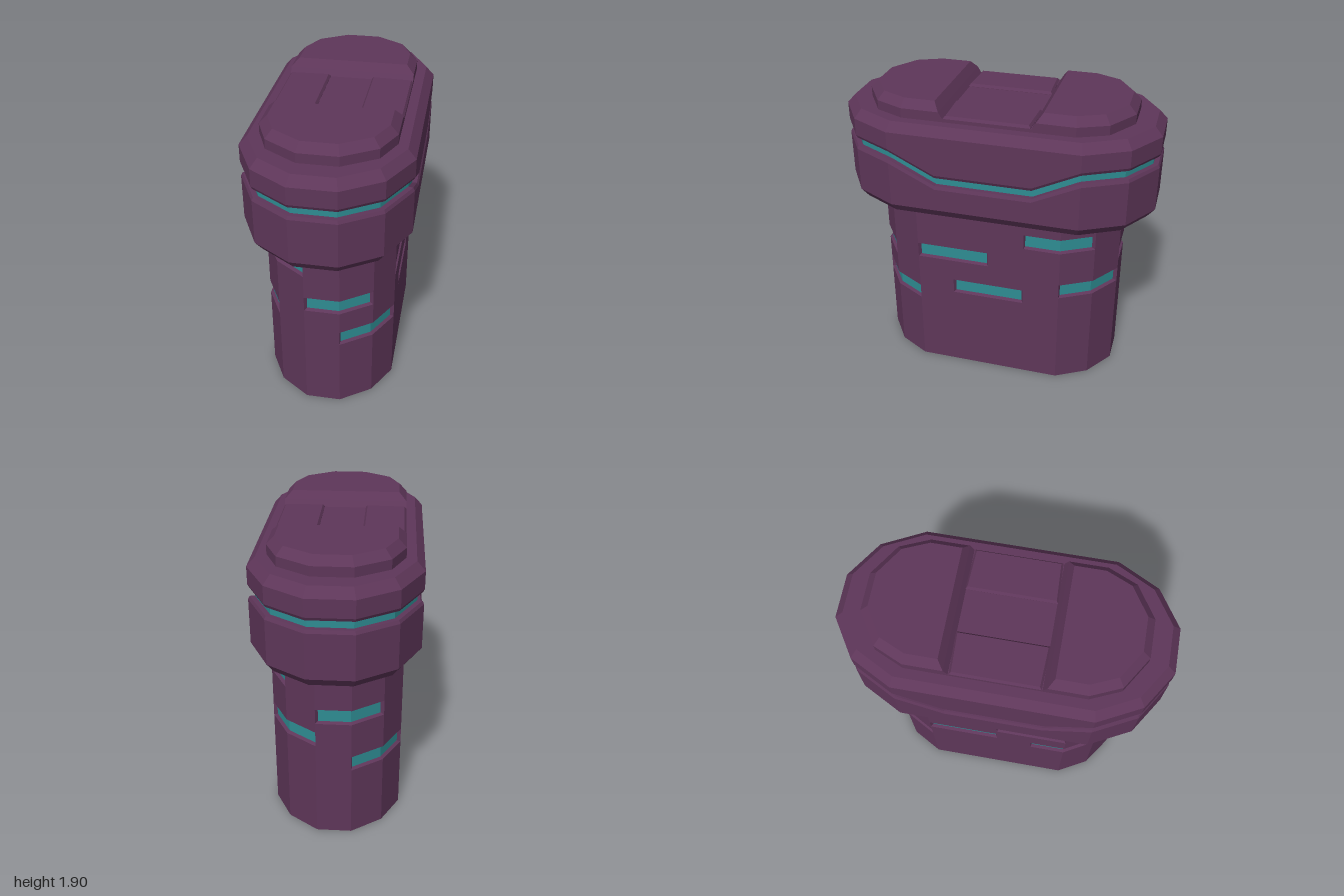
import * as THREE from 'three';

const SHELL = new THREE.MeshStandardMaterial({ color: 0x5e3659, flatShading: true });
const GLOW = new THREE.MeshStandardMaterial({ color: 0x2e8c92, flatShading: true });

// Elongated outline from one quarter [x, z], running left to right as seen from outside.
function outline(quarter) {
  const back = [...quarter].reverse();
  return [
    ...quarter,
    ...back.map(([x, z]) => [x, -z]),
    ...quarter.map(([x, z]) => [-x, -z]),
    ...back.map(([x, z]) => [-x, z]),
  ];
}

// Move every edge of an outline inwards by d.
function inset(ring, d) {
  const n = ring.length;
  const normal = (i) => {
    const a = ring[i % n], b = ring[(i + 1) % n];
    const l = Math.hypot(b[0] - a[0], b[1] - a[1]);
    return [-(b[1] - a[1]) / l, (b[0] - a[0]) / l];
  };
  return ring.map(([x, z], i) => {
    const p = normal(i + n - 1), q = normal(i);
    const k = d / (1 + p[0] * q[0] + p[1] * q[1]);
    return [x - (p[0] + q[0]) * k, z - (p[1] + q[1]) * k];
  });
}

const level = (ring, y) => ring.map(([x, z]) => [x, y, z]);

// Corners: lower left, lower right, upper right, upper left.
const quad = (out, a, b, c, d) => out.push(...a, ...b, ...c, ...a, ...c, ...d);

function cap(out, ring, up) {
  for (let i = 1; i < ring.length - 1; i++) {
    out.push(...ring[0], ...(up ? ring[i] : ring[i + 1]), ...(up ? ring[i + 1] : ring[i]));
  }
}

// Skin a stack of rings from bottom to top.
function loft(rings, { bottom = false, top = false } = {}) {
  const out = [];
  for (let k = 0; k < rings.length - 1; k++) {
    const lo = rings[k], hi = rings[k + 1], n = lo.length;
    for (let i = 0; i < n; i++) {
      const j = (i + 1) % n;
      quad(out, lo[i], lo[j], hi[j], hi[i]);
    }
  }
  if (bottom) cap(out, rings[0], false);
  if (top) cap(out, rings[rings.length - 1], true);
  return out;
}

function addMesh(parent, name, positions, material) {
  const g = new THREE.BufferGeometry();
  g.setAttribute('position', new THREE.Float32BufferAttribute(positions, 3));
  g.computeVertexNormals();
  const mesh = new THREE.Mesh(g, material);
  mesh.name = name;
  parent.add(mesh);
  return mesh;
}

// Lower body with recessed light slots that wrap round the corners.
function buildBody(parent) {
  const ring = outline([[0.11, 0.8], [0.3, 0.67], [0.41, 0.47]]);
  // Start at the front left corner so that corner numbers run 0..12.
  ring.unshift(ring.pop());
  const n = ring.length, H = 1.18, DEPTH = 0.02, LIP = 0.01;
  const deep = inset(ring, DEPTH);
  const point = (u, y, floor) => {
    const r = floor ? deep : ring, i = Math.floor(u), f = u - i;
    const a = r[i % n], b = r[(i + 1) % n];
    return [a[0] + (b[0] - a[0]) * f, y, a[1] + (b[1] - a[1]) * f];
  };
  const edge = (i) => Math.hypot(ring[(i + 1) % n][0] - ring[i][0], ring[(i + 1) % n][1] - ring[i][1]);

  // [start, end] along the outline in corner numbers, then centre height
  const slots = [
    [0, 2, 0.782], [1, 3, 0.533], [3, 3.5, 0.868], [3.25, 3.75, 0.62],
    [3.75, 5, 1.042], [4, 6, 0.705], [6, 8, 0.868], [7, 9, 0.533],
    [9, 9.5, 0.705], [9.5, 10, 0.868], [9.75, 11, 0.62], [10, 12, 1.042],
  ].map(([u0, u1, y]) => ({ u0, u1, y0: y - 0.05, y1: y + 0.05 }));

  const sorted = (list) => [...new Set(list)].sort((a, b) => a - b);
  const us = sorted([...Array(n + 1).keys(), ...slots.flatMap((s) => [s.u0, s.u1])]);
  const ys = sorted([0, H, ...slots.flatMap((s) => [s.y0, s.y1])]);

  // Outer wall, leaving the slots open
  const wall = [], glow = [];
  for (let i = 0; i < us.length - 1; i++) {
    for (let j = 0; j < ys.length - 1; j++) {
      const [a, b, c, d] = [us[i], us[i + 1], ys[j], ys[j + 1]];
      const open = slots.some((s) => a >= s.u0 && b <= s.u1 && c >= s.y0 && d <= s.y1);
      if (!open) quad(wall, point(a, c), point(b, c), point(b, d), point(a, d));
    }
  }
  // Slot lips and floors
  for (const { u0, u1, y0, y1 } of slots) {
    const f0 = u0 + LIP / edge(Math.floor(u0)), f1 = u1 - LIP / edge(Math.ceil(u1) - 1);
    const fit = (u) => Math.min(f1, Math.max(f0, u));
    const lo = y0 + LIP, hi = y1 - LIP;
    const cuts = us.filter((u) => u >= u0 && u <= u1);
    for (let i = 0; i < cuts.length - 1; i++) {
      const a = cuts[i], b = cuts[i + 1], fa = fit(a), fb = fit(b);
      quad(glow, point(fa, lo, 1), point(fb, lo, 1), point(fb, hi, 1), point(fa, hi, 1));
      quad(wall, point(a, y0), point(b, y0), point(fb, lo, 1), point(fa, lo, 1));
      quad(wall, point(fa, hi, 1), point(fb, hi, 1), point(b, y1), point(a, y1));
    }
    quad(wall, point(u0, y0), point(f0, lo, 1), point(f0, hi, 1), point(u0, y1));
    quad(wall, point(f1, lo, 1), point(u1, y0), point(u1, y1), point(f1, hi, 1));
  }
  cap(wall, level(ring, 0), false);
  addMesh(parent, 'body', wall, SHELL);
  addMesh(parent, 'bodyLightSlots', glow, GLOW);
}

// Wide head with a light band that dips along both sides.
function buildHead(parent) {
  const ring = outline([[0.14, 1], [0.375, 0.85], [0.51, 0.59], [0.51, 0.3]]);
  const section = ([d, y, dips]) =>
    inset(ring, d).map(([x, z]) => [x, y - (dips && Math.abs(z) < 0.4 ? 0.14 : 0), z]);
  const lower = [[0.12, 1.172], [0.045, 1.185], [0, 1.245], [0, 1.53, 1], [0.01, 1.55, 1], [0.04, 1.55, 1]];
  const band = [[0.04, 1.55, 1], [0.04, 1.605, 1]];
  const upper = [[0.04, 1.605, 1], [0.01, 1.605, 1], [0, 1.625, 1], [0, 1.735], [0.05, 1.79]];
  addMesh(parent, 'headLower', loft(lower.map(section), { bottom: true }), SHELL);
  addMesh(parent, 'headLightBand', loft(band.map(section)), GLOW);
  addMesh(parent, 'headUpper', loft(upper.map(section), { top: true }), SHELL);
}

// Two raised end pads with a sunken deck and two thin panels between them.
function buildTop(parent) {
  const ring = outline([[0.12, 0.835], [0.32, 0.71], [0.4, 0.53]]);
  const padRing = (d, y, end) => {
    const r = inset(ring, d);
    const half = [...r.slice(-3), ...r.slice(0, 3)];
    const x = r[2][0];
    return level([...half, [x, end], [-x, end]], y);
  };
  const pad = loft([
    padRing(0, 1.78, 0.27), padRing(0, 1.81, 0.27), padRing(0, 1.85, 0.295), padRing(0.048, 1.9, 0.33),
  ], { top: true });
  addMesh(parent, 'frontPad', pad, SHELL);
  addMesh(parent, 'backPad', pad, SHELL).rotation.y = Math.PI;

  const deck = new THREE.Mesh(new THREE.BoxGeometry(0.8, 0.04, 0.56), SHELL);
  deck.name = 'deck';
  deck.position.y = 1.79;
  parent.add(deck);

  const panelRing = (d, y) =>
    level([[0.135 + d, 0.275 - d], [0.4 - d, 0.265 - d], [0.4 - d, -0.265 + d], [0.135 + d, -0.275 + d]], y);
  const panel = loft([panelRing(0, 1.8), panelRing(0, 1.812), panelRing(0.012, 1.828)], { top: true });
  addMesh(parent, 'leftPanel', panel, SHELL);
  addMesh(parent, 'rightPanel', panel, SHELL).rotation.y = Math.PI;
}

export function createModel() {
  const model = new THREE.Group();
  model.name = 'capsuleDevice';
  buildBody(model);
  buildHead(model);
  buildTop(model);
  return model;
}
